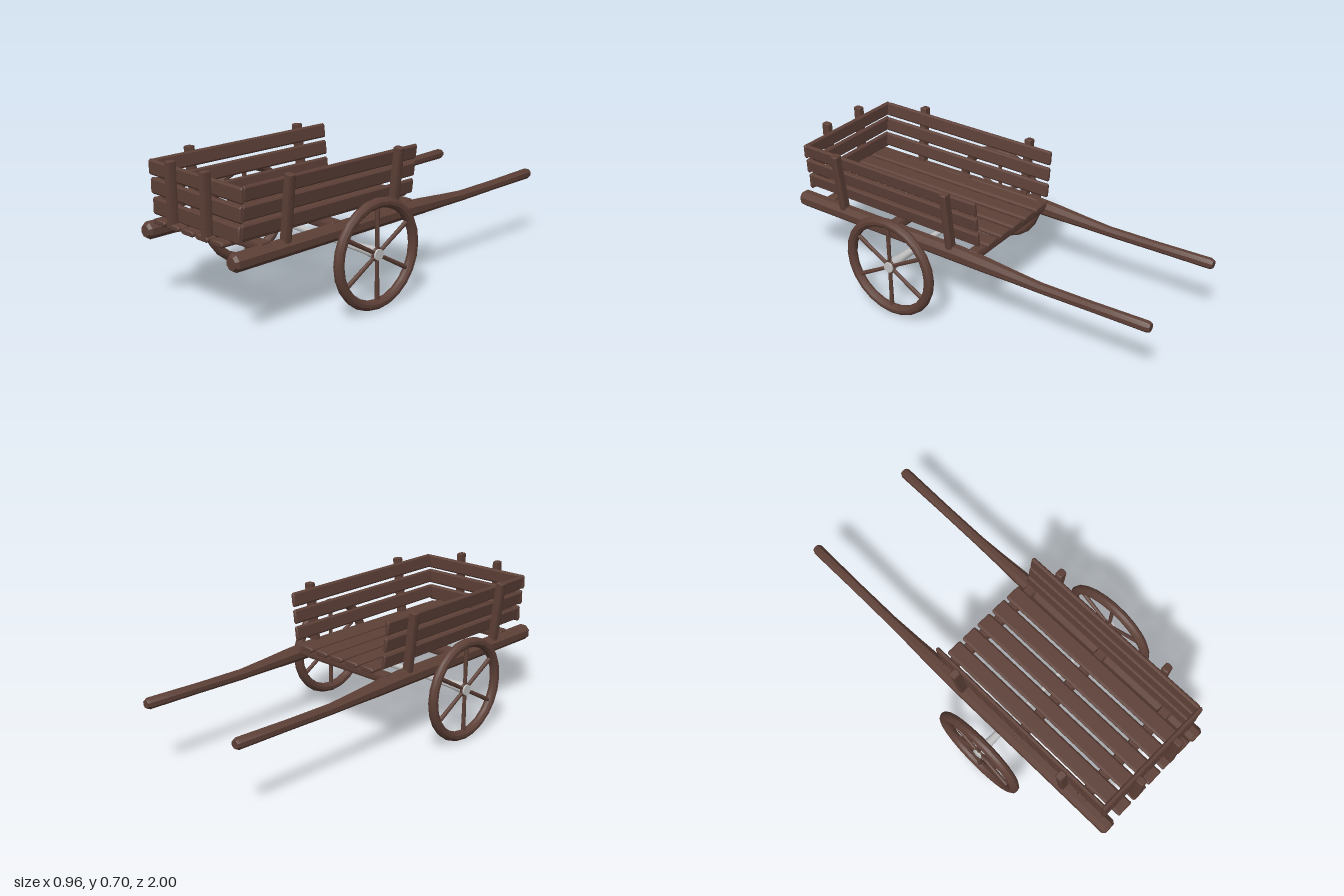
import * as THREE from 'three';
import { toCreasedNormals } from 'three/addons/utils/BufferGeometryUtils.js';

export function createModel() {
  const wood = new THREE.MeshStandardMaterial({ color: 0x5d4037 });
  wood.name = 'brown wood';
  const metal = new THREE.MeshStandardMaterial({ color: 0xc4c4c4 });
  metal.name = 'light grey metal';
  const cart = new THREE.Group();
  cart.name = 'handcart';

  const add = (parent, name, geometry, material, x = 0, y = 0, z = 0) => {
    const mesh = new THREE.Mesh(toCreasedNormals(geometry, 0.5), material);
    mesh.name = name;
    mesh.position.set(x, y, z);
    parent.add(mesh);
    return mesh;
  };

  // Board with worn edges: w along x, t along y, length along z, centred
  const board = (w, t, length) => {
    const a = w / 2, b = t / 2, e = 0.004;
    const corners = [[a, -b * 0.35], [a, b * 0.35], [a * 0.78, b], [-a * 0.78, b],
      [-a, b * 0.35], [-a, -b * 0.35], [-a * 0.78, -b], [a * 0.78, -b]];
    const shape = new THREE.Shape(corners.map(([x, y]) => new THREE.Vector2(x, y)));
    return new THREE.ExtrudeGeometry(shape, {
      depth: length - 2 * e, bevelThickness: e, bevelSize: e, bevelOffset: -e, bevelSegments: 1,
    }).translate(0, 0, e - length / 2);
  };

  // Tapered shafts that become handles: z, centre y, radius
  const rows = [[0.995, 0.35, 0.03], [0.98, 0.35, 0.041], [0.5, 0.353, 0.041], [0, 0.357, 0.042],
    [-0.15, 0.353, 0.038], [-0.3, 0.348, 0.031], [-0.45, 0.343, 0.026], [-0.7, 0.348, 0.025],
    [-0.985, 0.355, 0.027], [-1, 0.355, 0.02]];
  const shaft = () => {
    const g = new THREE.CylinderGeometry(1, 1, rows.length - 1, 8, rows.length - 1);
    g.rotateY(Math.PI / 8).rotateX(Math.PI / 2);
    const p = g.attributes.position;
    for (let i = 0; i < p.count; i++) {
      const [z, y, r] = rows[Math.round((rows.length - 1) / 2 - p.getZ(i))];
      p.setXYZ(i, p.getX(i) * r, y + p.getY(i) * r, z);
    }
    return g;
  };

  // Floor planks and the crossbars under them
  for (let i = -2; i <= 2; i++) {
    add(cart, 'floorPlank', board(0.085, 0.024, 1.11), wood, i * 0.1, 0.41, 0.435);
  }
  for (const z of [-0.07, 0.4, 0.81]) {
    const bar = add(cart, 'crossbar', board(0.06, 0.042, 0.6), wood, 0, 0.378, z);
    bar.rotation.y = Math.PI / 2;
  }

  // Front boards and their two posts
  [[0.457, 0.08, 0.6], [0.547, 0.074, 0.62], [0.63, 0.07, 0.64]].forEach(([y, h, length]) => {
    const g = board(h, 0.022, length).rotateZ(Math.PI / 2).rotateY(Math.PI / 2);
    g.rotateZ(-0.008);
    add(cart, 'frontBoard', g, wood, 0, y, 0.937);
  });
  for (const x of [-0.122, 0.118]) {
    add(cart, 'frontPost', board(0.034, 0.042, 0.3).rotateX(Math.PI / 2), wood, x, 0.55, 0.971);
  }

  for (const s of [-1, 1]) {
    add(cart, 'shaft', shaft(), wood, s * 0.302);

    // Outward-leaning side wall
    const side = new THREE.Group();
    side.name = s > 0 ? 'leftSide' : 'rightSide';
    side.position.set(s * 0.307, 0.36, 0);
    side.rotation.z = -s * 0.12;
    for (const y of [0.1, 0.185, 0.27]) {
      add(side, 'sideBoard', board(0.07, 0.02, 1.03).rotateZ(Math.PI / 2), wood, -s * 0.03, y, 0.415);
    }
    for (const z of [0.05, 0.707]) {
      add(side, 'sidePost', board(0.044, 0.036, 0.325).rotateX(Math.PI / 2), wood, 0, 0.163, z);
    }
    cart.add(side);

    // Wheel with rim, hub and six spokes
    const wheel = new THREE.Group();
    wheel.name = s > 0 ? 'leftWheel' : 'rightWheel';
    wheel.position.set(s * 0.455, 0.26, 0.303);
    wheel.rotation.y = Math.PI / 2;
    add(wheel, 'rim', new THREE.TorusGeometry(0.235, 0.024, 10, 24), wood);
    add(wheel, 'hubRing', new THREE.TorusGeometry(0.028, 0.006, 6, 16), wood);
    add(wheel, 'hub', new THREE.CylinderGeometry(0.026, 0.026, 0.03, 16).rotateX(Math.PI / 2), metal);
    for (let i = 0; i < 6; i++) {
      const spoke = new THREE.CylinderGeometry(0.011, 0.009, 0.2, 8).translate(0, 0.128, 0);
      add(wheel, 'spoke', spoke.rotateZ(i * Math.PI / 3), wood);
    }
    cart.add(wheel);
  }

  // Slender axle flaring at both wheels
  const profile = [[0, -0.45], [0.03, -0.45], [0.028, -0.43], [0.021, -0.37], [0.015, -0.2],
    [0.015, 0.2], [0.021, 0.37], [0.028, 0.43], [0.03, 0.45], [0, 0.45]];
  const axle = new THREE.LatheGeometry(profile.map(([r, y]) => new THREE.Vector2(r, y)), 16);
  add(cart, 'axle', axle.rotateZ(Math.PI / 2), metal, 0, 0.265, 0.303);

  return cart;
}
